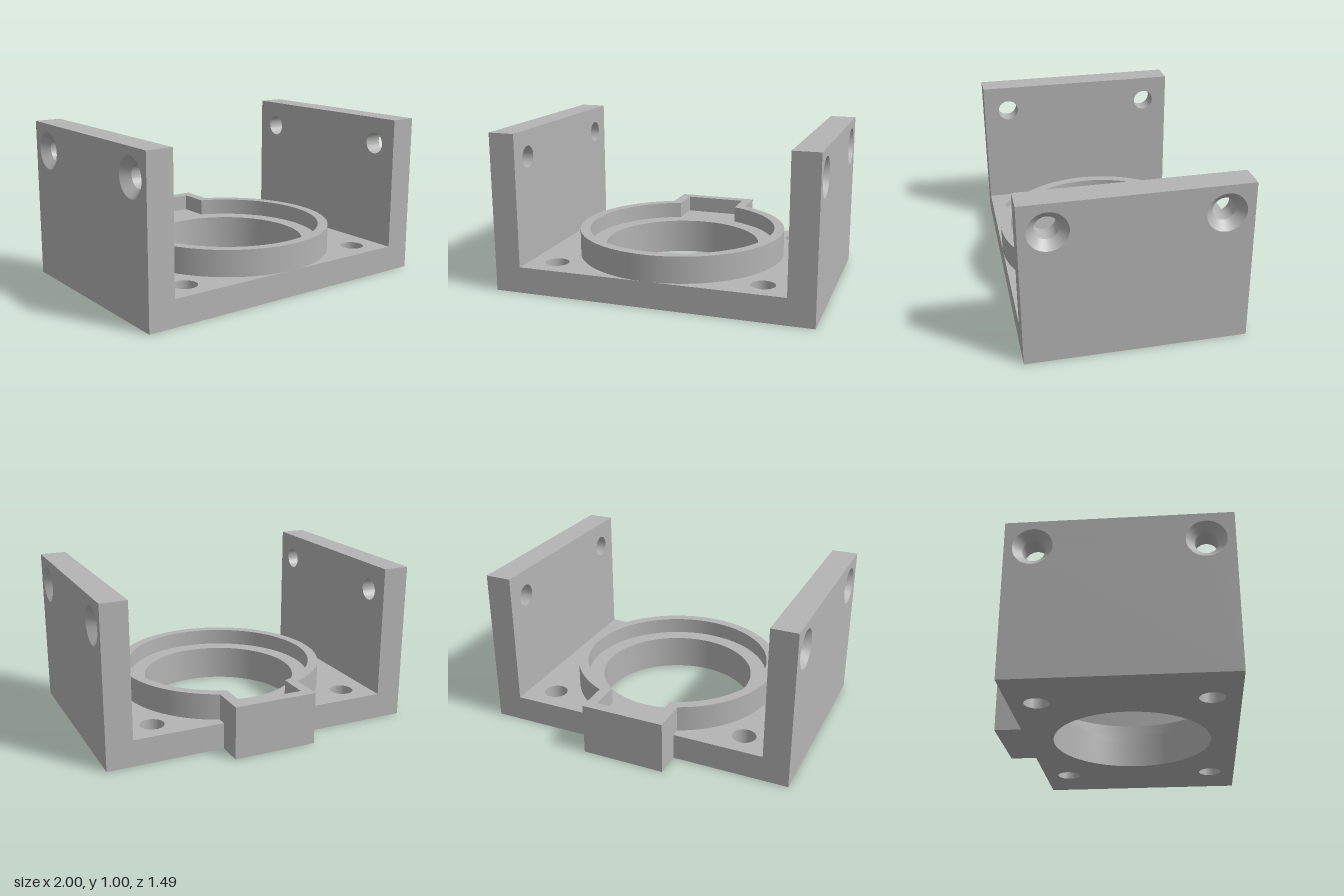
import * as THREE from 'three';
import { toCreasedNormals } from 'three/addons/utils/BufferGeometryUtils.js';

const CZ = 0.08; // bore centre and bracket centre along z
const BACK = -0.58, FRONT = 0.74;
const WALL_IN = 0.835, HEIGHT = 0.995;
const PLATE_TOP = 0.165, POCKET_FLOOR = 0.225, COLLAR_TOP = 0.33;

const polygon = (pts) => new THREE.Shape(pts.map(([x, y]) => new THREE.Vector2(x, y)));
const circle = (x, y, r) => new THREE.Path().absarc(x, y, r, 0, Math.PI * 2, false);

function extrude(shape, depth) {
  const geo = new THREE.ExtrudeGeometry(shape, { depth, bevelEnabled: false, curveSegments: 64 });
  return toCreasedNormals(geo, 0.4);
}

// Keyhole outline: a circle with a rectangular tab to the rear (shape y is -z)
function keyhole(r, halfWidth, rear) {
  const a = Math.acos(halfWidth / r);
  const s = new THREE.Shape();
  s.absarc(0, -CZ, r, Math.PI - a, a, false);
  s.lineTo(halfWidth, rear);
  s.lineTo(-halfWidth, rear);
  s.closePath();
  return s;
}

export function createModel() {
  const grey = new THREE.MeshStandardMaterial({ color: 0xb4b4b4, side: THREE.DoubleSide });
  grey.name = 'plain grey';
  const model = new THREE.Group();
  model.name = 'motorBracket';

  const add = (parent, name, geo) => {
    const mesh = new THREE.Mesh(geo, grey);
    mesh.name = name;
    parent.add(mesh);
    return mesh;
  };
  // Horizontal layer between two heights
  const layer = (name, shape, y0, y1) => {
    const geo = extrude(shape, y1 - y0);
    geo.rotateX(-Math.PI / 2).translate(0, y0, 0);
    return add(model, name, geo);
  };

  // Base plate with rear tab, bore and four screw holes
  const plate = polygon([
    [-WALL_IN, -FRONT], [WALL_IN, -FRONT], [WALL_IN, -BACK], [0.265, -BACK],
    [0.265, 0.745], [-0.265, 0.745], [-0.265, -BACK], [-WALL_IN, -BACK],
  ]);
  plate.holes.push(circle(0, -CZ, 0.495));
  for (const x of [-0.66, 0.66]) {
    for (const z of [-0.415, 0.575]) plate.holes.push(circle(x, -z, 0.075));
  }
  layer('basePlate', plate, 0, PLATE_TOP);

  // Pocket floor around the bore
  const floor = keyhole(0.66, 0.265, 0.745);
  floor.holes.push(circle(0, -CZ, 0.495));
  layer('pocketFloor', floor, PLATE_TOP, POCKET_FLOOR);

  // Raised collar rim that follows the pocket and its rear slot
  const rim = keyhole(0.66, 0.265, 0.745);
  rim.holes.push(keyhole(0.597, 0.2, 0.68));
  layer('collarRim', rim, POCKET_FLOOR, COLLAR_TOP);

  // Side walls with countersunk holes, opening outwards
  const SINK = 0.05, R_OUT = 0.117, R_IN = 0.068, HOLE_Y = 0.828;
  const holeZ = [-0.415, 0.575];
  function sideWall(name) {
    const wall = new THREE.Group();
    wall.name = name;
    const slab = (part, r, x0, x1) => {
      const s = polygon([[-FRONT, 0], [-BACK, 0], [-BACK, HEIGHT], [-FRONT, HEIGHT]]);
      for (const z of holeZ) s.holes.push(circle(-z, HOLE_Y, r));
      add(wall, part, extrude(s, x1 - x0).rotateY(Math.PI / 2).translate(x0, 0, 0));
    };
    slab('wallInner', R_IN, WALL_IN, 1 - SINK);
    slab('wallOuter', R_OUT, 1 - SINK, 1);
    for (const z of holeZ) {
      const cone = new THREE.CylinderGeometry(R_IN, R_OUT, SINK, 64, 1, true);
      cone.rotateZ(Math.PI / 2).translate(1 - SINK / 2, HOLE_Y, z);
      add(wall, 'countersink', cone);
    }
    model.add(wall);
    return wall;
  }
  sideWall('leftWall');
  const right = sideWall('rightWall');
  right.rotation.y = Math.PI;
  right.position.z = 2 * CZ;

  return model;
}
